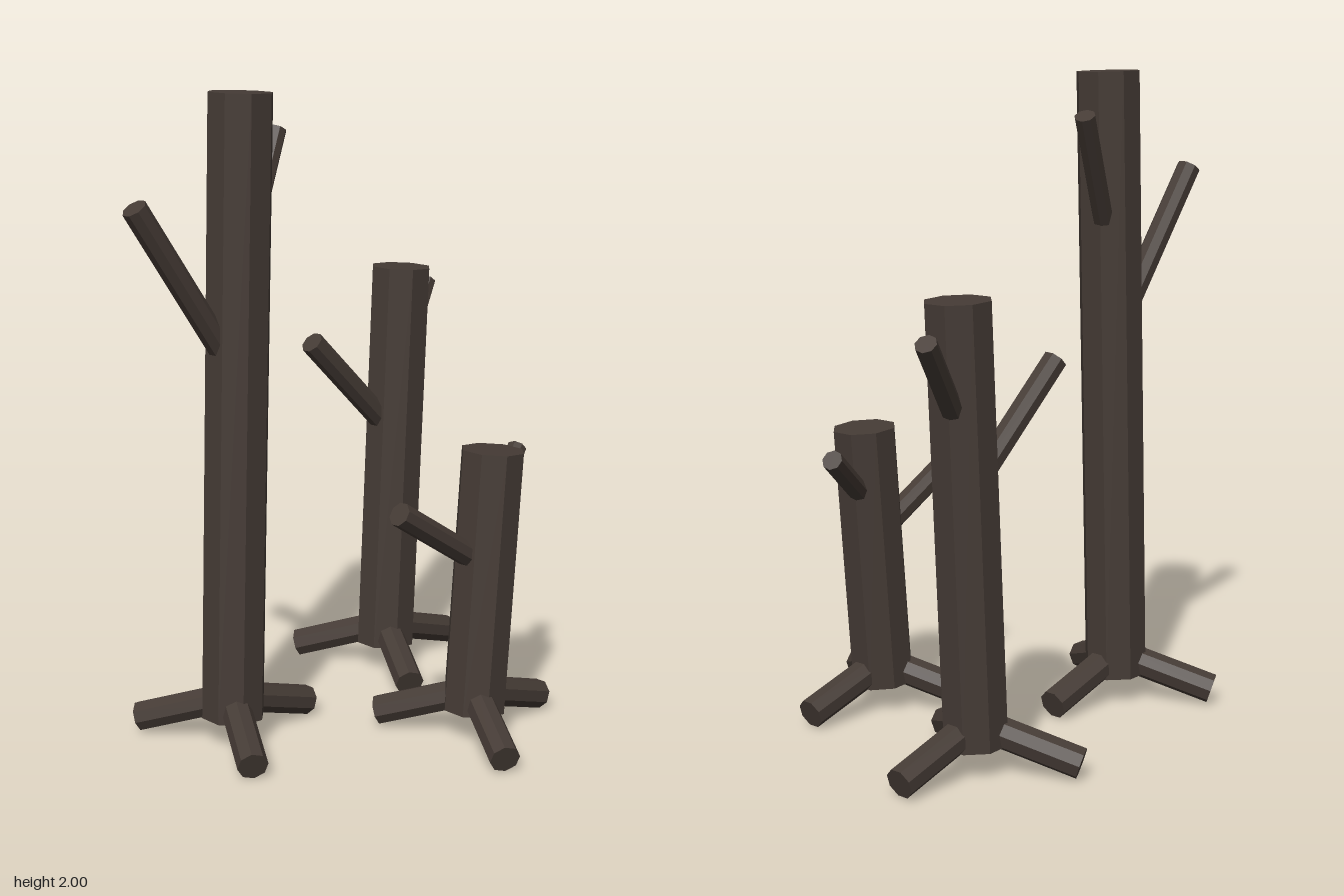
import * as THREE from 'three';

const bark = new THREE.MeshStandardMaterial({ color: 0x453b35, flatShading: true });
const UP = new THREE.Vector3(0, 1, 0);

// Eight-sided log between two points, with flats facing the axes
function log(name, from, to, radius) {
  const dir = to.clone().sub(from);
  const geometry = new THREE.CylinderGeometry(radius, radius, dir.length(), 8);
  geometry.rotateY(Math.PI / 8);
  const mesh = new THREE.Mesh(geometry, bark);
  mesh.name = name;
  mesh.position.copy(from).add(to).multiplyScalar(0.5);
  mesh.quaternion.setFromUnitVectors(UP, dir.normalize());
  return mesh;
}

// Leaning dead tree: trunk, three splayed roots, two branches
function deadTree(name, x, z, height) {
  const tree = new THREE.Group();
  tree.name = name;
  tree.position.set(x, 0, z);

  const base = new THREE.Vector3(0, 0.087, 0);
  const top = new THREE.Vector3(0.07, 0.087 + height, 0);
  tree.add(log('trunk', base, top, 0.1));

  for (let i = 0; i < 3; i++) {
    const a = (i * Math.PI * 2) / 3;
    const tip = new THREE.Vector3(Math.cos(a) * 0.31, 0.048, Math.sin(a) * 0.31);
    tree.add(log('root', new THREE.Vector3(0, 0.148, 0), tip, 0.047));
  }

  // Branches rise in proportion to the height of the tree
  const branch = (label, t, dx, rise, dz, radius) => {
    const start = base.clone().lerp(top, t);
    const tip = start.clone().add(new THREE.Vector3(dx, rise * height, dz));
    tree.add(log(label, start, tip, radius));
  };
  branch('rightBranch', 0.563, -0.348, 0.278, -0.027, 0.038);
  branch('leftBranch', 0.7, 0.25, 0.232, -0.102, 0.032);
  return tree;
}

export function createModel() {
  const group = new THREE.Group();
  group.name = 'deadTrees';
  group.add(
    deadTree('tallTree', -0.395, -0.184, 1.909),
    deadTree('mediumTree', 0.405, -0.314, 1.289),
    deadTree('shortTree', 0.175, 0.306, 0.825),
  );
  return group;
}
